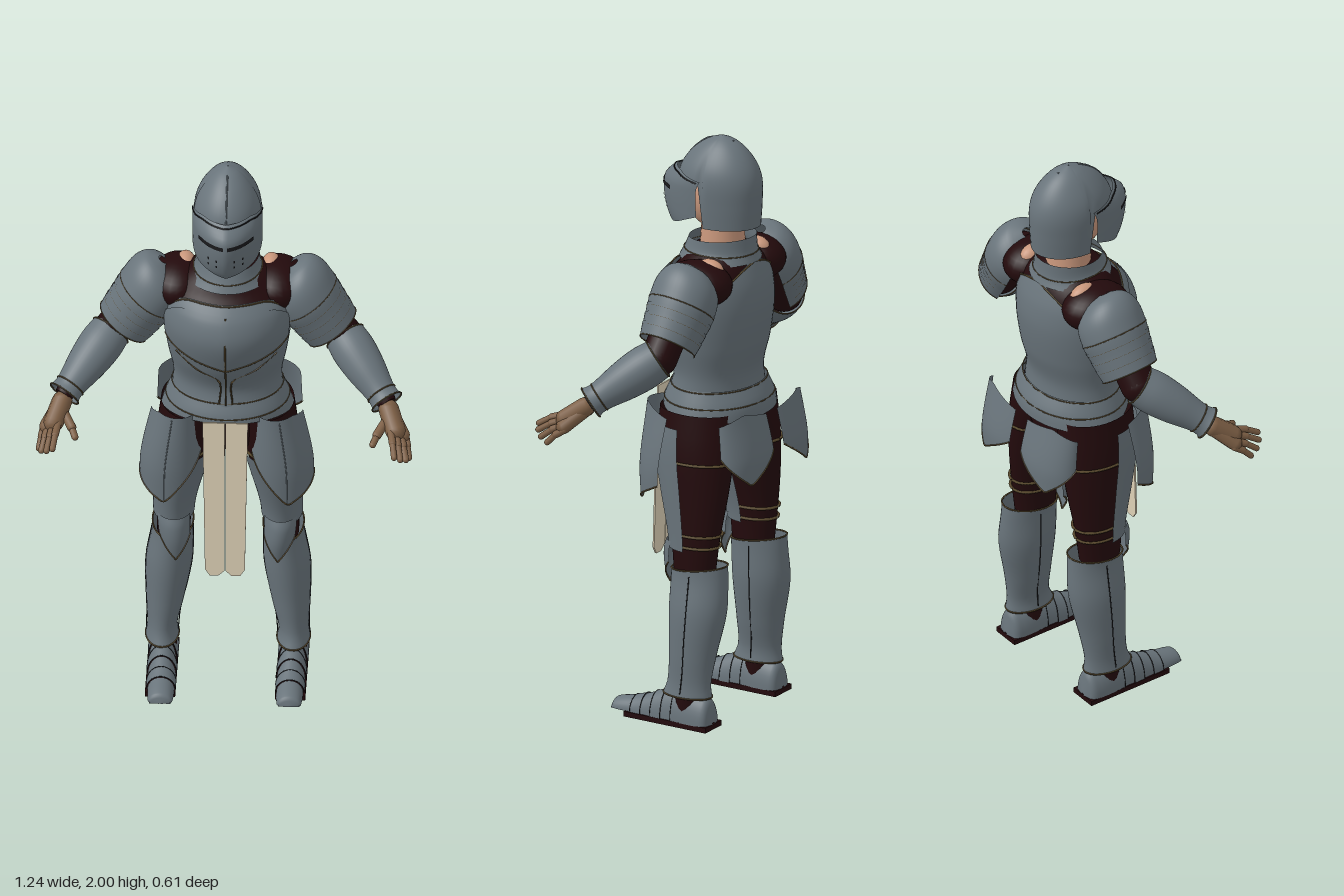
import * as THREE from 'three';

const mat = (name, color, two = true) => {
  const m = new THREE.MeshStandardMaterial({ color, side: two ? THREE.DoubleSide : THREE.FrontSide });
  m.name = name;
  return m;
};
const PI = Math.PI, TAU = PI * 2;

// Interpolated cross-section of a body: rows are [y, centreX, radiusX, frontZ, backZ], y ascending
function section(rows, y) {
  let i = 0;
  while (i < rows.length - 2 && y > rows[i + 1][0]) i++;
  const a = rows[i], b = rows[i + 1], p = rows[Math.max(i - 1, 0)], n = rows[Math.min(i + 2, rows.length - 1)];
  const h = b[0] - a[0], u = THREE.MathUtils.clamp((y - a[0]) / h, 0, 1), u2 = u * u, u3 = u2 * u;
  return [1, 2, 3, 4].map(k => {
    const m0 = (b[k] - p[k]) / (b[0] - p[0]) * h, m1 = (n[k] - a[k]) / (n[0] - a[0]) * h;
    return (2 * u3 - 3 * u2 + 1) * a[k] + (u3 - 2 * u2 + u) * m0 + (3 * u2 - 2 * u3) * b[k] + (u3 - u2) * m1;
  });
}

// Point on a body at height y and angle t (0 = front, PI/2 = +x), pushed out by d
function point(rows, y, t, d = 0) {
  const [cx, rx, zf, zb] = section(rows, y);
  const ridge = (rows.ridge || 0) * Math.max(0, 1 - Math.abs(t) / 0.7);
  return [cx + (rx + d) * Math.sin(t), y, (zf + zb) / 2 + ((zf - zb) / 2 + d) * Math.cos(t) + ridge];
}
const fn = v => (typeof v === 'function' ? v : () => v);

// Curved plate lying on a body between two angles and two (possibly varying) heights
function patch(rows, lo, hi, { t0 = -PI, t1 = PI, d = 0, nt = 36, ny = 14 } = {}) {
  const closed = t1 - t0 > TAU - 0.001, cols = closed ? nt : nt + 1, pos = [], idx = [];
  for (let i = 0; i <= ny; i++) for (let j = 0; j < cols; j++) {
    const t = t0 + (t1 - t0) * j / nt, y = fn(lo)(t) + (fn(hi)(t) - fn(lo)(t)) * i / ny;
    pos.push(...point(rows, y, t, d));
  }
  for (let i = 0; i < ny; i++) for (let j = 0; j < nt; j++) {
    const k = (j + 1) % cols, a = i * cols + j, b = i * cols + k, c = a + cols, e = b + cols;
    idx.push(a, b, e, a, e, c);
  }
  const g = new THREE.BufferGeometry();
  g.setAttribute('position', new THREE.Float32BufferAttribute(pos, 3));
  g.setIndex(idx);
  g.computeVertexNormals();
  return g;
}

// Thin bead that follows a body through [t, y] points
function bead(rows, pts, d, r = 0.003) {
  const curve = new THREE.CatmullRomCurve3(pts.map(([t, y]) => new THREE.Vector3(...point(rows, y, t, d))));
  return new THREE.TubeGeometry(curve, pts.length * 3, r, 5);
}
const around = (y, t0 = -PI, t1 = PI, n = 16) =>
  Array.from({ length: n + 1 }, (_, i) => { const t = t0 + (t1 - t0) * i / n; return [t, fn(y)(t)]; });

function add(parent, name, geo, material) {
  const m = new THREE.Mesh(geo, material);
  m.name = name;
  parent.add(m);
  return m;
}
function ball(parent, name, material, [x, y, z], [sx, sy, sz]) {
  add(parent, name, new THREE.SphereGeometry(1, 24, 16).scale(sx, sy, sz).translate(x, y, z), material);
}
// Group whose +y runs from a to b
function aim(parent, name, a, b) {
  const g = new THREE.Group(), A = new THREE.Vector3(...a), D = new THREE.Vector3(...b).sub(A);
  g.name = name;
  g.position.copy(A);
  g.quaternion.setFromUnitVectors(new THREE.Vector3(0, 1, 0), D.clone().normalize());
  g.userData.length = D.length();
  parent.add(g);
  return g;
}
function rod(parent, name, a, b, r, material) {
  const g = aim(parent, name, a, b), L = g.userData.length;
  add(g, name, new THREE.CapsuleGeometry(r, L, 4, 10).translate(0, L / 2, 0), material);
}
// Baked mirror image across x = 0
function mirror(group, name) {
  const out = new THREE.Group(), flip = new THREE.Matrix4().makeScale(-1, 1, 1);
  out.name = name;
  group.updateMatrixWorld(true);
  group.traverse(o => {
    if (!o.isMesh) return;
    const g = o.geometry.clone().applyMatrix4(flip.clone().multiply(o.matrixWorld)), ix = g.index.array;
    for (let i = 0; i < ix.length; i += 3) [ix[i], ix[i + 1]] = [ix[i + 1], ix[i]];
    add(out, o.name, g, o.material);
  });
  return out;
}

export function createModel() {
  const model = new THREE.Group();
  const steel = mat('steel', 0x69747b), padding = mat('padded cloth', 0x230a0c), skin = mat('skin', 0xc9977c, false);
  const glove = mat('glove', 0x7d5f45, false), linen = mat('linen', 0xe0d3b8), trim = mat('trim', 0x5a4a2e, false);
  const dark = mat('dark gap', 0x19191b);

  // Head and helmet
  ball(model, 'head', skin, [0, 1.785, -0.035], [0.085, 0.11, 0.095]);
  add(model, 'neck', new THREE.CylinderGeometry(0.068, 0.08, 0.17, 24).translate(0, 1.65, -0.07), skin);
  const skull = [[1.7, 0, 0.108, 0.085, -0.205], [1.78, 0, 0.112, 0.09, -0.21], [1.85, 0, 0.112, 0.088, -0.21],
    [1.9, 0, 0.1, 0.07, -0.195], [1.95, 0, 0.07, 0.028, -0.16], [1.985, 0, 0.035, -0.025, -0.115], [2, 0, 0.002, -0.068, -0.072]];
  add(model, 'helmet skull', patch(skull, t => (Math.abs(t) < 1.5 ? 1.85 : 1.7), 2, { nt: 48, ny: 28 }), steel);
  add(model, 'helmet crest', bead(skull, [[0, 1.87], [0, 1.91], [0, 1.95], [0, 1.985], [PI, 1.985]], 0, 0.003), steel);
  const visor = [[1.665, 0, 0.1, 0.09, -0.17], [1.7, 0, 0.113, 0.115, -0.19], [1.76, 0, 0.116, 0.134, -0.2],
    [1.83, 0, 0.116, 0.134, -0.2], [1.855, 0, 0.115, 0.115, -0.2], [1.88, 0, 0.112, 0.08, -0.2]];
  visor.ridge = 0.016;
  const chin = t => 1.668 + 0.035 * Math.min(1, Math.abs(t)) + 0.06 * Math.max(0, Math.abs(t) - 1);
  const brow = t => 1.878 - 0.02 * Math.max(0, Math.abs(t) - 0.8);
  add(model, 'visor', patch(visor, chin, brow, { t0: -1.6, t1: 1.6, nt: 40, ny: 20 }), steel);
  add(model, 'visor rim', bead(visor, around(t => brow(t) - 0.008, -1.55, 1.55), 0.001, 0.0025), dark);
  for (const s of [-1, 1]) {
    const slot = (t, y, w, h) => add(model, 'visor opening', patch(visor, y - h, y + h, { t0: s * t - w, t1: s * t + w, d: 0.003, nt: 10, ny: 1 }), dark);
    slot(0.46, 1.815, 0.4, 0.007);
    for (const t of [0.25, 0.5]) for (const y of [1.76, 1.735]) slot(t, y, 0.02, 0.005);
  }
  const gorget = [[1.58, 0, 0.135, 0.075, -0.2], [1.61, 0, 0.112, 0.06, -0.19], [1.67, 0, 0.102, 0.035, -0.185]];
  const gorgetTop = t => 1.655 - 0.01 * Math.cos(t);
  add(model, 'gorget', patch(gorget, 1.58, gorgetTop, { ny: 8 }), steel);
  add(model, 'gorget trim', bead(gorget, around(1.607), 0.001, 0.002), trim);

  // Padded undercoat, hips, breast and back plate
  const coat = [[1.35, 0, 0.195, 0.125, -0.21], [1.42, 0, 0.205, 0.142, -0.22], [1.5, 0, 0.2, 0.122, -0.215],
    [1.56, 0, 0.175, 0.068, -0.195], [1.605, 0, 0.12, 0.04, -0.17], [1.63, 0, 0.07, 0, -0.14]];
  add(model, 'padded coat', patch(coat, 1.35, 1.63, { ny: 18 }), padding);
  const hips = [[0.9, 0, 0.03, -0.02, -0.1], [0.94, 0, 0.14, 0.05, -0.17], [1.05, 0, 0.19, 0.08, -0.19], [1.14, 0, 0.17, 0.07, -0.18]];
  add(model, 'padded hips', patch(hips, 0.9, 1.14), padding);
  const torso = [[1.12, 0, 0.185, 0.095, -0.195], [1.2, 0, 0.18, 0.08, -0.19], [1.3, 0, 0.198, 0.118, -0.215],
    [1.42, 0, 0.213, 0.15, -0.23], [1.5, 0, 0.208, 0.13, -0.223], [1.56, 0, 0.183, 0.078, -0.203], [1.6, 0, 0.15, 0.05, -0.185]];
  torso.ridge = 0.008;
  // Straight across the front, scooped behind the shoulders
  const neckline = t => (Math.cos(t) > 0 ? 1.55 - 0.08 * Math.sin(t) ** 8 : 1.585 - 0.115 * Math.sin(t) ** 2);
  add(model, 'body armour', patch(torso, 1.12, neckline, { nt: 60, ny: 30 }), steel);
  const breastLow = t => 1.31 + 0.06 * Math.abs(t);
  add(model, 'breast plate', patch(torso, breastLow, t => neckline(t) - 0.025, { t0: -1.25, t1: 1.25, d: 0.005 }), steel);
  add(model, 'breast trim', bead(torso, around(breastLow, -1.25, 1.25), 0.005), trim);
  add(model, 'neckline trim', bead(torso, around(t => neckline(t) - 0.004), 0.001), trim);
  add(model, 'breast seam', bead(torso, [[0, 1.15], [0, 1.25], [0, 1.32], [0, 1.42], [0, 1.52]], 0.005), trim);
  for (const s of [-1, 1])
    add(model, 'waist seam', bead(torso, [[s * 0.12, 1.15], [s * 0.12, 1.25], [s * 0.5, 1.29], [s * 0.95, 1.34]], 0.001), trim);
  const fauld = [[1.045, 0, 0.222, 0.115, -0.235], [1.1, 0, 0.205, 0.115, -0.23], [1.16, 0, 0.181, 0.088, -0.2]];
  add(model, 'waist lames', patch(fauld, t => 1.055 + 0.03 * Math.max(0, Math.cos(t)), 1.155, { nt: 48, ny: 6 }), steel);
  for (const y of [1.1, 1.15]) add(model, 'waist trim', bead(fauld, around(y), 0, 0.0022), trim);

  // Hanging cloth in two strips
  for (const s of [-1, 1]) {
    const pts = [[0.0015, 0], [0.075, 0], [0.066, -0.575], [0.05, -0.6], [0.022, -0.6], [0.0015, -0.58]];
    const shape = new THREE.Shape(pts.map(([x, y]) => new THREE.Vector2(s * x, y)));
    const strip = add(model, 'hanging cloth', new THREE.ExtrudeGeometry(shape, { depth: 0.006, bevelEnabled: false }), linen);
    strip.position.set(0, 1.105, 0.134);
    strip.rotation.x = -0.04;
  }

  // Everything paired is made for the left side, then mirrored
  const left = new THREE.Group();
  left.name = 'leftSide';

  // Shoulder padding
  ball(left, 'shoulder padding', padding, [0.165, 1.53, -0.08], [0.095, 0.078, 0.12]);
  ball(left, 'bare shoulder', skin, [0.142, 1.573, -0.11], [0.034, 0.04, 0.052]);

  // Upper arm with pauldron: a dome and overlapping lames
  const S = [0.24, 1.525, -0.08], E = [0.385, 1.33, -0.065], W = [0.535, 1.185, 0.11];
  const arm = aim(left, 'upperArm', S, E);
  add(arm, 'sleeve', new THREE.CapsuleGeometry(0.062, 0.24, 6, 20).translate(0, 0.12, 0), padding);
  const dome = [[-0.08, -0.03, 0.015, 0.015, -0.015], [-0.067, -0.02, 0.06, 0.062, -0.062], [-0.02, -0.002, 0.1, 0.105, -0.105],
    [0.05, 0.008, 0.108, 0.115, -0.115], [0.12, 0.012, 0.1, 0.102, -0.102], [0.2, 0.015, 0.088, 0.086, -0.086]];
  const wrap = { t0: -PI / 2 - 2.45, t1: -PI / 2 + 2.45 };
  [[-0.08, 0.06, 0.002], [0.05, 0.095, 0.003], [0.082, 0.127, 0.005], [0.115, 0.16, 0.007], [0.148, 0.195, 0.009]].forEach(([a, b, d]) => {
    add(arm, 'pauldron lame', patch(dome, a, b, { ...wrap, d, ny: a < 0 ? 16 : 4 }), steel);
    add(arm, 'pauldron trim', bead(dome, around(b - 0.002, wrap.t0, wrap.t1), d, 0.0022), trim);
  });

  // Forearm guard and wrist cuff
  ball(left, 'elbow padding', padding, E, [0.062, 0.062, 0.062]);
  const fore = aim(left, 'forearm', E, W), L = fore.userData.length;
  const ring = (y, r) => [y, 0, r, r, -r];
  const guard = [ring(0, 0.068), ring(0.06, 0.073), ring(0.14, 0.066), ring(0.22, 0.052), ring(0.25, 0.05), ring(L, 0.057)];
  add(fore, 'forearm guard', patch(guard, 0, L, { ny: 16 }), steel);
  for (const y of [0.004, 0.235, L - 0.004]) add(fore, 'forearm trim', bead(guard, around(y), 0.001, 0.0025), trim);
  add(fore, 'wrist padding', new THREE.CylinderGeometry(0.03, 0.042, 0.05, 16).translate(0, L - 0.022, 0), padding);

  // Gloved hand
  rod(left, 'palm', [0.54, 1.17, 0.125], [0.565, 1.125, 0.185], 0.034, glove);
  rod(left, 'palmSide', [0.55, 1.155, 0.13], [0.588, 1.105, 0.18], 0.025, glove);
  [[0.565, 1.09, 0.29], [0.585, 1.075, 0.28], [0.603, 1.06, 0.258], [0.612, 1.048, 0.228]].forEach((tip, i) => {
    const root = [0.55 + i * 0.016, 1.132 - i * 0.012, 0.2 - i * 0.009];
    const mid = root.map((v, k) => (v + tip[k]) / 2 + (k === 1 ? 0.006 : 0));
    rod(left, 'finger', root, mid, 0.0125, glove);
    rod(left, 'fingertip', mid, tip, 0.0105, glove);
  });
  rod(left, 'thumbBase', [0.535, 1.145, 0.15], [0.505, 1.12, 0.205], 0.016, glove);
  rod(left, 'thumb', [0.505, 1.12, 0.205], [0.492, 1.105, 0.24], 0.0115, glove);

  // Thigh, front thigh plate and straps
  const thigh = [[0.53, 0.18, 0.055, 0, -0.15], [0.65, 0.177, 0.06, 0.012, -0.165], [0.8, 0.16, 0.078, 0.05, -0.185],
    [0.95, 0.14, 0.095, 0.085, -0.195], [1.08, 0.12, 0.1, 0.085, -0.19]];
  add(left, 'padded thigh', patch(thigh, 0.53, 1.08), padding);
  add(left, 'thigh plate', patch(thigh, 0.61, t => 1.03 - 0.25 * Math.min(0.5, Math.max(0, -t)), { t0: -1.5, t1: 1.5, d: 0.011 }), steel);
  for (const y of [0.625, 0.665, 0.915]) add(left, 'thigh strap', bead(thigh, around(y), 0.005, 0.005), trim);

  // Hip plate at front and side, and rear plate
  const tasset = [[0.76, 0.182, 0.106, 0.115, -0.1], [0.9, 0.18, 0.105, 0.122, -0.1], [1.1, 0.16, 0.083, 0.112, -0.12]];
  const tassetLow = t => (t < 0.2 ? 0.76 + 0.13 * (0.2 - t) : 0.76 + 0.055 * (t - 0.2));
  add(left, 'hip plate', patch(tasset, tassetLow, t => 1.1 - 0.04 * Math.max(0, t - 0.8), { t0: -1.15, t1: 1.65 }), steel);
  add(left, 'hip plate trim', bead(tasset, around(tassetLow, -1.15, 1.65), 0), trim);
  add(left, 'hip plate ridge', bead(tasset, [[0.2, 0.77], [0.2, 0.9], [0.2, 1.09]], 0, 0.002), steel);
  const rear = [[0.86, 0.1, 0.14, -0.13, -0.302], [0.95, 0.1, 0.14, -0.13, -0.3], [1.1, 0.1, 0.135, -0.14, -0.262]];
  const rearLow = t => 0.86 + 0.09 * Math.abs(t - 2.65), rearTop = t => 1.1 - 0.03 * Math.abs(t - 2.65);
  add(left, 'rear plate', patch(rear, rearLow, rearTop, { t0: PI / 2, t1: PI + 0.52, nt: 24 }), steel);
  add(left, 'rear plate trim', bead(rear, around(rearLow, PI / 2, PI + 0.52), 0), trim);

  // Knee guard and greave
  const knee = [[0.46, 0.168, 0.055, 0.025, -0.13], [0.54, 0.172, 0.06, 0.042, -0.15], [0.6, 0.176, 0.063, 0.04, -0.155], [0.64, 0.177, 0.064, 0.025, -0.15]];
  const kneeLow = t => 0.47 + 0.09 * Math.abs(t);
  add(left, 'knee guard', patch(knee, kneeLow, 0.632, { t0: -1, t1: 1 }), steel);
  add(left, 'knee trim', bead(knee, around(kneeLow, -1, 1), 0), trim);
  const shin = [[0.1, 0.217, 0.056, 0.022, -0.162], [0.15, 0.217, 0.05, 0.002, -0.156], [0.25, 0.208, 0.063, 0, -0.17],
    [0.4, 0.195, 0.077, 0.006, -0.2], [0.52, 0.184, 0.068, 0.006, -0.2], [0.58, 0.182, 0.068, 0.006, -0.197]];
  const shinTop = t => 0.55 - 0.015 * Math.cos(t);
  add(left, 'greave', patch(shin, 0.105, shinTop, { ny: 22 }), steel);
  add(left, 'greave top trim', bead(shin, around(shinTop), 0), trim);
  add(left, 'greave foot trim', bead(shin, around(0.108), 0), trim);
  for (const t of [-PI / 2, PI / 2])
    add(left, 'greave seam', bead(shin, [0.12, 0.2, 0.3, 0.4, 0.53].map(y => [t, y]), 0, 0.002), dark);

  // Foot: overlapping arched lames over a flat sole, closed at heel and toe
  add(left, 'ankle padding', new THREE.CylinderGeometry(0.048, 0.045, 0.12, 20).translate(0.215, 0.09, -0.075), padding);
  add(left, 'sole', new THREE.BoxGeometry(0.1, 0.018, 0.32).translate(0.215, 0.009, -0.01), padding);
  const foot = [[-0.17, 0.215, 0.004, 0.004, -0.004], [-0.162, 0.215, 0.036, 0.07, -0.07], [-0.13, 0.215, 0.047, 0.09, -0.09],
    [-0.03, 0.215, 0.046, 0.1, -0.1], [0.03, 0.214, 0.047, 0.083, -0.083], [0.12, 0.213, 0.045, 0.05, -0.05],
    [0.2, 0.213, 0.04, 0.032, -0.032], [0.211, 0.213, 0.03, 0.02, -0.02], [0.215, 0.213, 0.002, 0.001, -0.001]];
  const lift = g => g.rotateX(PI / 2).translate(0, 0.017, 0), arch = { t0: PI / 2, t1: PI * 1.5 };
  [-0.17, -0.03, 0.01, 0.05, 0.09, 0.13, 0.215].forEach((z, i, all) => {
    if (!i) return;
    const d = i % 2 ? 0.003 : 0;
    add(left, 'foot lame', lift(patch(foot, all[i - 1], z, { ...arch, d, nt: 18, ny: i === 1 || i === 6 ? 20 : 4 })), steel);
    if (i < 6) add(left, 'foot seam', lift(bead(foot, around(z, arch.t0, arch.t1), 0.003, 0.0015)), dark);
  });
  add(left, 'toe underside', new THREE.BoxGeometry(0.07, 0.004, 0.065).translate(0.213, 0.017, 0.178), steel);

  model.add(left, mirror(left, 'rightSide'));
  return model;
}
